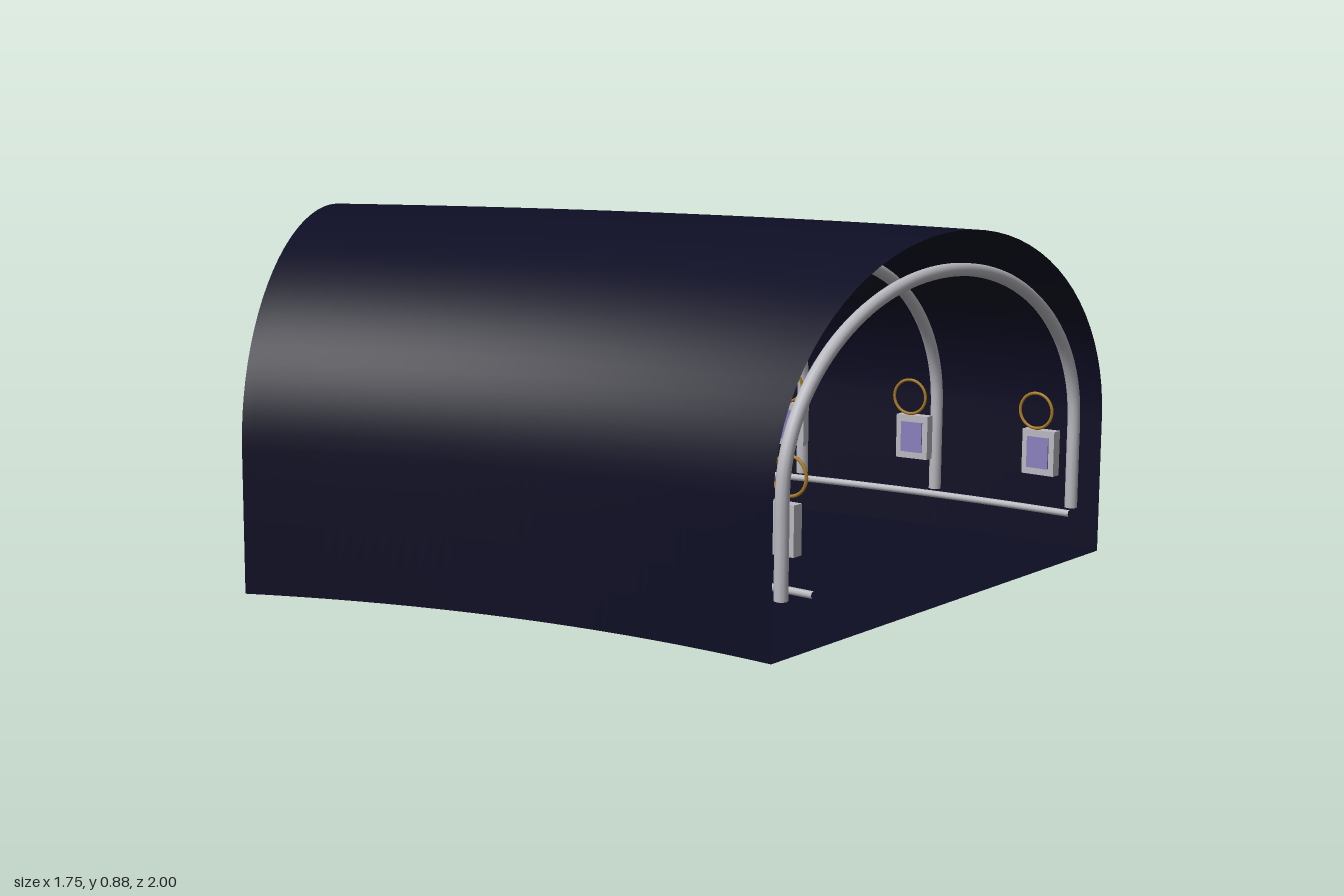
import * as THREE from 'three';

const R = 3.3, CX = -3.13, CZ = 1, BEND = Math.PI / 6; // centre line arc of the bend
const HALF = 0.7, SPRING = 0.35, RISE = 0.525;         // tunnel cross-section

const mat = (name, color, side = THREE.FrontSide) => {
  const m = new THREE.MeshStandardMaterial({ color, side });
  m.name = name;
  return m;
};

// Arch outline from left foot over the crown to right foot, [x, y]
function archPoints(half, foot, rise, wallSteps = 4, steps = 40) {
  const pts = [];
  for (let i = 0; i < wallSteps; i++) pts.push([-half, foot + (SPRING - foot) * i / wallSteps]);
  for (let i = 0; i <= steps; i++) {
    const a = Math.PI * (1 - i / steps);
    pts.push([half * Math.cos(a), SPRING + rise * Math.sin(a)]);
  }
  for (let i = wallSteps - 1; i >= 0; i--) pts.push([half, foot + (SPRING - foot) * i / wallSteps]);
  return pts;
}

// Point on the bend: sideways offset, height and angle
const onBend = (off, y, a) =>
  new THREE.Vector3(CX + (R + off) * Math.cos(a), y, CZ - (R + off) * Math.sin(a));

// Sweep an open section along the bend
function sweep(section, steps = 40) {
  const n = section.length;
  const g = new THREE.PlaneGeometry(1, 1, n - 1, steps);
  for (let j = 0; j <= steps; j++) {
    section.forEach(([x, y], i) => {
      const p = onBend(x, y, BEND * j / steps);
      g.attributes.position.setXYZ(j * n + i, p.x, p.y, p.z);
    });
  }
  g.computeVertexNormals();
  return g;
}

export function createModel() {
  const model = new THREE.Group();
  model.name = 'curvedTunnel';
  const navy = mat('navy shell', 0x0d0d24, THREE.DoubleSide);
  const grey = mat('light grey metal', 0xb9b9c0);
  const lavender = mat('lavender screen', 0x8a80bd);
  const gold = mat('gold', 0xa87a22);

  const add = (parent, name, geo, material, x = 0, y = 0, z = 0) => {
    const m = new THREE.Mesh(geo, material);
    m.name = name;
    m.position.set(x, y, z);
    parent.add(m);
    return m;
  };
  // Group standing on the centre line at a fraction of the bend
  const station = (name, t) => {
    const g = new THREE.Group();
    g.name = name;
    g.position.copy(onBend(0, 0, BEND * t));
    g.rotation.y = BEND * t;
    model.add(g);
    return g;
  };

  // Vaulted shell and floor
  add(model, 'vault', sweep(archPoints(HALF, 0, RISE)), navy);
  add(model, 'floor', sweep([[HALF, 0], [0, 0], [-HALF, 0]]), navy);

  // Rounded frame closing the rim of the far end
  const outline = (half, foot, rise) =>
    archPoints(half, foot, rise, 1).map(([x, y]) => new THREE.Vector2(x, y));
  const frame = new THREE.Shape(outline(HALF - 0.003, 0.003, RISE - 0.003));
  frame.holes.push(new THREE.Path(outline(HALF - 0.08, 0.08, RISE - 0.08)));
  const frameGeo = new THREE.ExtrudeGeometry(frame, {
    depth: 0.03, bevelSize: 0.02, bevelThickness: 0.02, bevelOffset: -0.02, bevelSegments: 3,
  });
  add(station('endFrame', 1), 'frameRing', frameGeo, grey, 0, 0, 0.02);

  // Arched ribs
  const ribPath = new THREE.CatmullRomCurve3(
    archPoints(0.63, 0.12, 0.43, 3, 24).map(([x, y]) => new THREE.Vector3(x, y, 0)));
  const ribGeo = new THREE.TubeGeometry(ribPath, 72, 0.016, 10);
  const capGeo = new THREE.CircleGeometry(0.016, 10).rotateX(Math.PI / 2);
  for (let i = 0; i < 6; i++) {
    const g = station('ribStation', 0.02 + 0.96 * i / 5);
    add(g, 'rib', ribGeo, grey);
    for (const s of [-1, 1]) add(g, 'ribFoot', capGeo, grey, s * 0.63, 0.12);
  }

  // Low rails along both walls
  for (const s of [-1, 1]) {
    const pts = [];
    for (let i = 0; i <= 16; i++) pts.push(onBend(s * 0.55, 0.122, BEND * i / 16));
    add(model, 'rail', new THREE.TubeGeometry(new THREE.CatmullRomCurve3(pts), 48, 0.009, 8), grey);
  }

  // Wall panels with a screen, and a gold ring above each
  const boxGeo = new THREE.BoxGeometry(0.03, 0.115, 0.09);
  const screenGeo = new THREE.BoxGeometry(0.006, 0.08, 0.06);
  const ringGeo = new THREE.TorusGeometry(0.045, 0.004, 8, 28).rotateY(Math.PI / 2);
  for (let i = 0; i < 6; i++) {
    const g = station('panelStation', 0.05 + 0.9 * i / 5);
    for (const s of [-1, 1]) {
      add(g, 'panel', boxGeo, grey, s * 0.575, 0.265);
      add(g, 'screen', screenGeo, lavender, s * 0.559, 0.265);
      add(g, 'goldRing', ringGeo, gold, s * 0.545, 0.375);
    }
  }
  return model;
}
